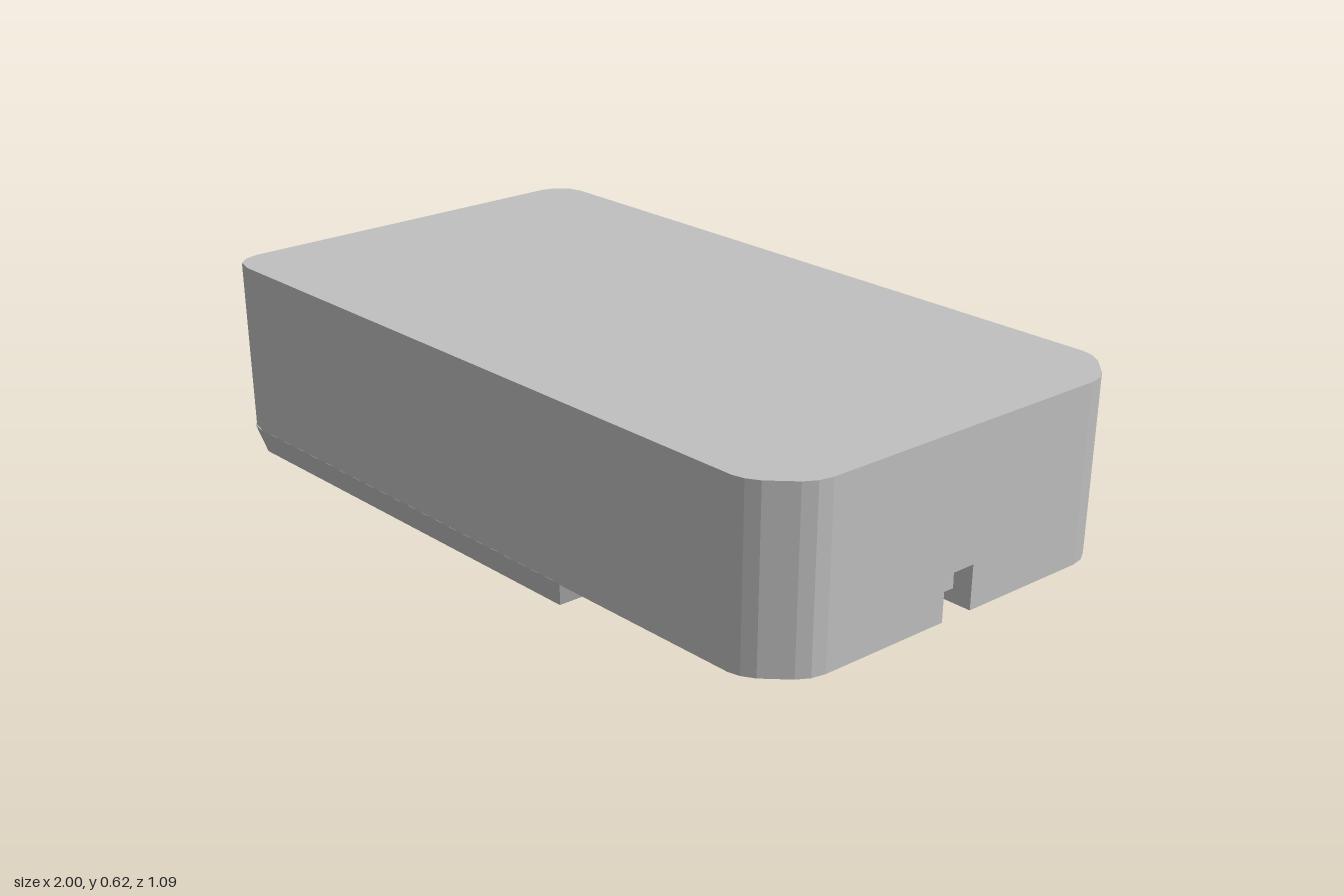
import * as THREE from 'three';

const grey = new THREE.MeshStandardMaterial({ color: 0xc0c0c0, flatShading: true });
grey.name = 'light grey plastic';

function addMesh(group, geometry, name) {
  const mesh = new THREE.Mesh(geometry, grey);
  mesh.name = name;
  group.add(mesh);
  return mesh;
}

function addBox(group, name, x0, x1, y0, y1, z0, z1) {
  const mesh = addMesh(group, new THREE.BoxGeometry(x1 - x0, y1 - y0, z1 - z0), name);
  mesh.position.set((x0 + x1) / 2, (y0 + y1) / 2, (z0 + z1) / 2);
}

// Complete a half outline (z > 0) by mirroring it across z = 0
const mirrored = (half) => [...half, ...half.slice().reverse().map(([x, z]) => [x, -z])];
const toShape = (pts) => new THREE.Shape(pts.map(([x, z]) => new THREE.Vector2(x, z)));

// Plan outline (x, z) extruded downwards from y1 to y0
function slab(shape, y0, y1) {
  const g = new THREE.ExtrudeGeometry(shape, { depth: y1 - y0, bevelEnabled: false, curveSegments: 10 });
  return g.rotateX(Math.PI / 2).translate(0, y1, 0);
}

// Move vertices by a rule
function reshape(g, rule) {
  const p = g.attributes.position, v = new THREE.Vector3();
  for (let i = 0; i < p.count; i++) {
    v.fromBufferAttribute(p, i);
    rule(v);
    p.setXYZ(i, v.x, v.y, v.z);
  }
  g.computeVertexNormals();
  return g;
}

export function createModel() {
  const model = new THREE.Group();
  model.name = 'gearedUnit';

  // Housing: small corners at one end, large ones at the other, slight draft
  const leftCorner = [[-1, 0.47], [-0.99, 0.505], [-0.965, 0.533], [-0.92, 0.545]];
  const rightCorner = [[0.86, 0.545], [0.89, 0.538], [0.92, 0.52], [0.975, 0.465], [0.993, 0.435], [1, 0.4]];
  const draft = (v) => {
    const k = 1 - 0.01 * (0.625 - v.y) / 0.44;
    v.x *= k;
    v.z *= k;
  };
  const outline = [...leftCorner, ...rightCorner];
  const notch = [[1, 0.045], [0.85, 0.045]];
  addMesh(model, reshape(slab(toShape(mirrored(outline)), 0.295, 0.625), draft), 'upperHousing');
  addMesh(model, reshape(slab(toShape(mirrored([...outline, ...notch])), 0.185, 0.295), draft), 'lowerHousing');
  addBox(model, 'notchStep', 0.85, 0.94, 0.22, 0.295, -0.045, 0.045);

  // Base plate with screw tabs and a central recess
  const base = toShape(mirrored([
    [-0.99, 0.48], [-0.98, 0.51], [-0.96, 0.53], [-0.92, 0.54], [0.31, 0.54],
    [0.31, 0.43], [0.12, 0.29], [0.02, 0.33], [-0.04, 0.41], [-0.21, 0.41],
  ]));
  for (const x of [-0.91, 0.18]) {
    for (const z of [-0.465, 0.465]) {
      const hole = new THREE.Path();
      hole.absarc(x, z, 0.03, 0, Math.PI * 2, true);
      base.holes.push(hole);
    }
  }
  addMesh(model, reshape(slab(base, 0.12, 0.187), (v) => {
    if (v.y > 0.15) return;
    if (Math.abs(v.z) > 0.505) v.z -= 0.02 * Math.sign(v.z);
    if (v.x < -0.955) v.x += 0.02;
    if (v.x > 0.29) v.x -= 0.025;
  }), 'basePlate');
  addBox(model, 'recessFloor', -0.22, -0.1, 0.155, 0.187, -0.41, 0.41);

  // Raised block with a long ramp on one side and drafted ends
  const profile = toShape([[-0.77, 0.155], [-0.74, 0.035], [-0.31, 0.035], [-0.17, 0.156]]);
  const hump = new THREE.ExtrudeGeometry(profile, { depth: 0.82, bevelEnabled: false }).translate(0, 0, -0.41);
  addMesh(model, reshape(hump, (v) => { if (v.y < 0.1) v.z *= 0.95; }), 'rampedBlock');
  addBox(model, 'blockPanel', -0.67, -0.36, 0.033, 0.037, -0.27, 0.33);

  // Output hub with a blind bore and a thin collar
  const hubProfile = [[0, 0.1], [0.05, 0.1], [0.05, 0], [0.122, 0], [0.132, 0.01], [0.132, 0.187]];
  const hub = addMesh(model, new THREE.LatheGeometry(
    hubProfile.map(([r, y]) => new THREE.Vector2(r, y)), 24), 'outputHub');
  hub.position.x = 0.55;
  const collar = addMesh(model, new THREE.CylinderGeometry(0.22, 0.22, 0.012, 32), 'hubCollar');
  collar.position.set(0.55, 0.183, 0);

  return model;
}
